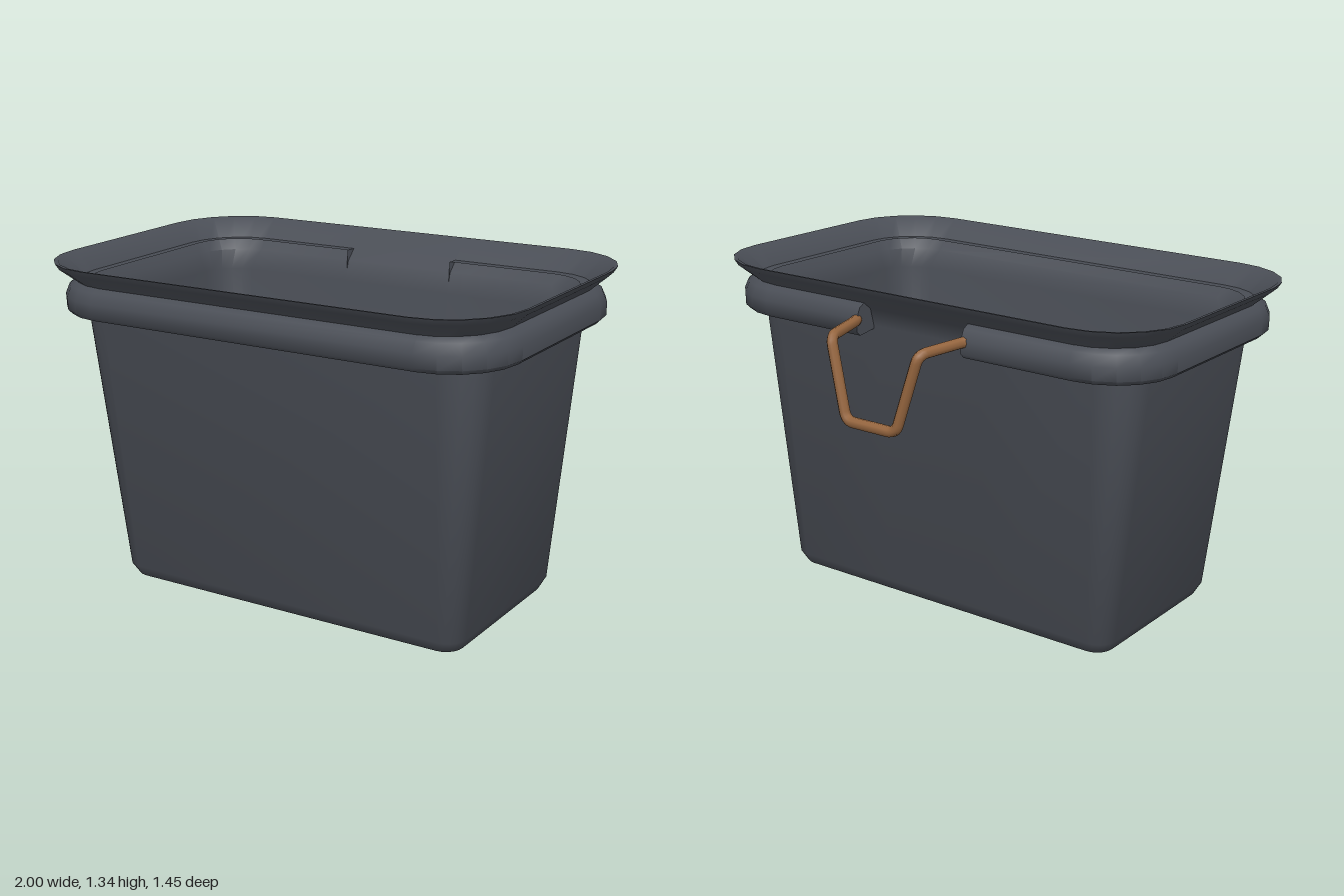
import * as THREE from 'three';
import { toCreasedNormals } from 'three/addons/utils/BufferGeometryUtils.js';

const CX = 0.015, CZ = 0.095, GAP = 0.24, SEG = 5;

// Rounded rectangle outline, starting and ending at the gap in the back
function ring([hx, hz, r, y]) {
  const g = Math.min(GAP, hx);
  const pts = [[CX + g, y, CZ - hz]];
  const corners = [[1, -1], [1, 1], [-1, 1], [-1, -1]];
  corners.forEach(([sx, sz], k) => {
    for (let i = 0; i <= SEG; i++) {
      const a = (k - 1 + i / SEG) * Math.PI / 2;
      pts.push([CX + sx * (hx - r) + r * Math.cos(a), y, CZ + sz * (hz - r) + r * Math.sin(a)]);
    }
  });
  pts.push([CX - g, y, CZ - hz]);
  return pts;
}

// Skin a list of outlines; closed goes all the way round, otherwise the ends are capped
function loft(sections, closed, crease) {
  const rings = sections.map(ring);
  const n = rings[0].length, idx = [];
  for (let j = 0; j < rings.length - 1; j++) {
    for (let i = 0; i < (closed ? n : n - 1); i++) {
      const k = (i + 1) % n;
      const a = j * n + i, b = a + n, c = j * n + k, d = c + n;
      idx.push(a, b, c, c, b, d);
    }
  }
  if (!closed) {
    for (let j = 1; j < rings.length - 1; j++) {
      idx.push(0, (j + 1) * n, j * n);
      idx.push(n - 1, j * n + n - 1, (j + 1) * n + n - 1);
    }
  }
  const geo = new THREE.BufferGeometry();
  geo.setAttribute('position', new THREE.Float32BufferAttribute(rings.flat(2), 3));
  geo.setIndex(idx);
  return toCreasedNormals(geo, crease);
}

// Polyline path with rounded bends
function bentPath(pts, r) {
  const path = new THREE.CurvePath();
  let from = pts[0];
  for (let i = 1; i < pts.length - 1; i++) {
    const p = pts[i];
    const a = p.clone().add(pts[i - 1].clone().sub(p).setLength(r));
    const b = p.clone().add(pts[i + 1].clone().sub(p).setLength(r));
    path.add(new THREE.LineCurve3(from, a));
    path.add(new THREE.QuadraticBezierCurve3(a, p, b));
    from = b;
  }
  path.add(new THREE.LineCurve3(from, pts[pts.length - 1]));
  return path;
}

export function createModel() {
  const group = new THREE.Group();
  group.name = 'hangingBin';
  const plastic = new THREE.MeshStandardMaterial({ name: 'slate plastic', color: 0x4a4e56 });
  plastic.side = THREE.DoubleSide;
  const copper = new THREE.MeshStandardMaterial({ name: 'copper wire', color: 0x96663f });

  const add = (name, geo, mat) => {
    const mesh = new THREE.Mesh(geo, mat);
    mesh.name = name;
    group.add(mesh);
  };

  // Tapered tub: outside from the base up, over the flared lip, down the inside
  add('tub', loft([
    [0, 0, 0, 0],
    [0.70, 0.33, 0.05, 0],
    [0.745, 0.377, 0.07, 0.015],
    [0.768, 0.40, 0.075, 0.06],
    [0.88, 0.49, 0.15, 1.14],
    [0.885, 0.51, 0.2, 1.21],
    [0.985, 0.618, 0.29, 1.295],
    [1.0, 0.63, 0.3, 1.318],
    [0.985, 0.615, 0.29, 1.316],
    [0.87, 0.495, 0.19, 1.2],
    [0.86, 0.47, 0.14, 1.12],
    [0.755, 0.387, 0.06, 0.07],
    [0.73, 0.365, 0.05, 0.03],
    [0, 0, 0, 0.025],
  ], true, 0.8), plastic);

  // Rolled band below the lip, open at the back where the wire comes out
  add('rimBand', loft([
    [0.87, 0.48, 0.16, 1.13],
    [0.95, 0.57, 0.25, 1.118],
    [0.968, 0.588, 0.27, 1.135],
    [0.968, 0.59, 0.27, 1.185],
    [0.95, 0.572, 0.25, 1.225],
    [0.92, 0.54, 0.22, 1.243],
    [0.87, 0.49, 0.18, 1.245],
  ], false, 0.8), plastic);

  // Bent wire hook, its ends tucked inside the band
  const half = [[0.33, 1.18, -0.445], [0.25, 1.18, -0.47], [0.2, 1.168, -0.685], [0.115, 0.87, -0.707]];
  const side = (s) => half.map(([x, y, z]) => new THREE.Vector3(CX + s * x, y, z));
  const wire = bentPath([...side(-1), ...side(1).reverse()], 0.035);
  add('wireHook', new THREE.TubeGeometry(wire, 110, 0.021, 8), copper);

  // Slight sideways lean
  group.rotation.z = 0.015;
  group.position.y = 0.01;
  const model = new THREE.Group();
  model.name = 'model';
  model.add(group);
  return model;
}
